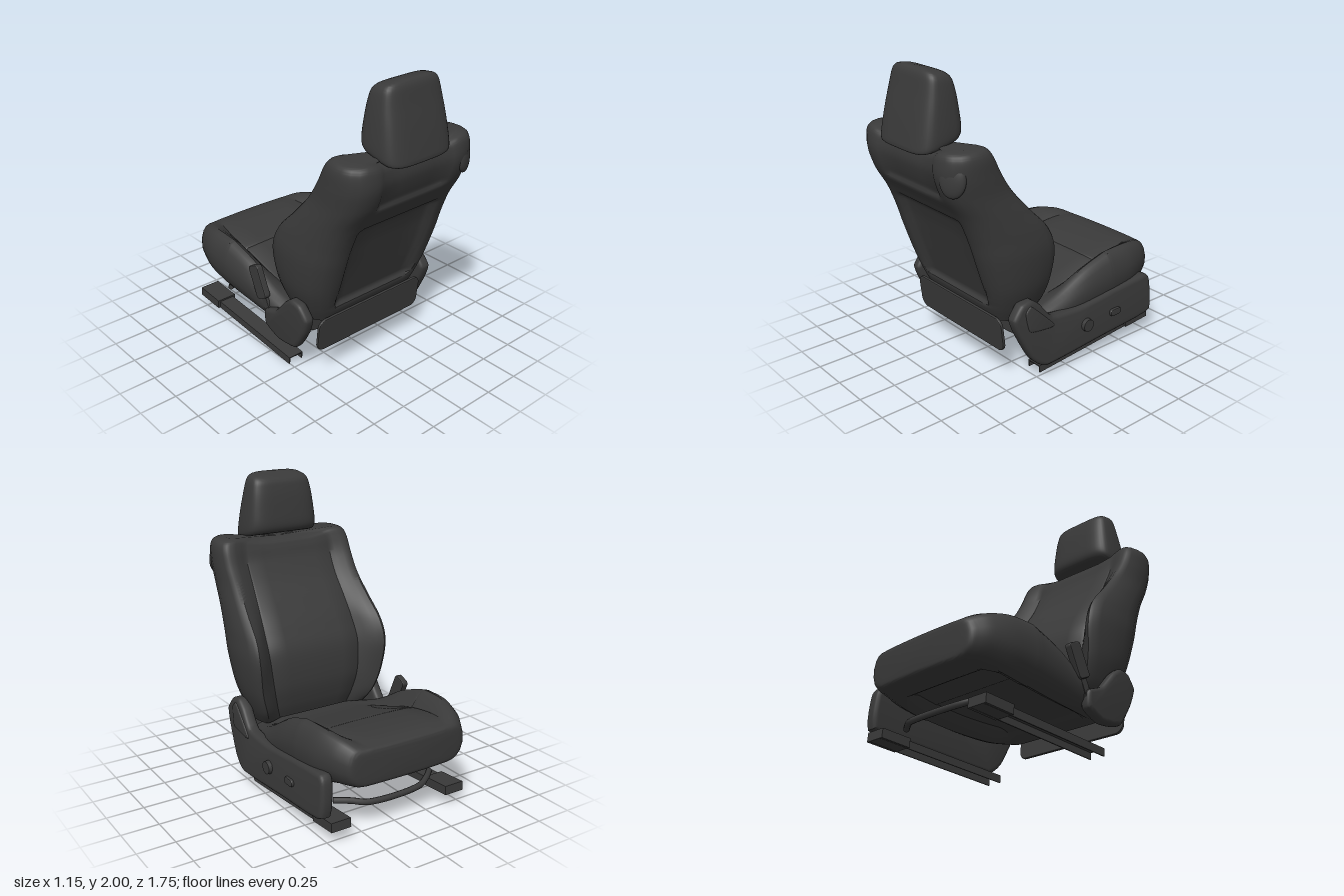
import * as THREE from 'three';
import { toCreasedNormals } from 'three/addons/utils/BufferGeometryUtils.js';

const CX = -0.025; // upholstery centre line
const mat = new THREE.MeshStandardMaterial({ color: 0x3a3a3a, side: THREE.DoubleSide });
const step = THREE.MathUtils.smoothstep;
const lerp = THREE.MathUtils.lerp;

// Smoothly resample rows of section parameters
function resample(rows, per) {
  const out = [];
  const at = i => rows[Math.min(Math.max(i, 0), rows.length - 1)];
  for (let i = 0; i < rows.length - 1; i++) {
    for (let k = 0; k < per; k++) {
      const t = k / per, t2 = t * t, t3 = t2 * t;
      out.push(rows[i].map((b, j) => {
        const a = at(i - 1)[j], c = at(i + 1)[j], d = at(i + 2)[j];
        return 0.5 * (2 * b + (c - a) * t + (2 * a - 5 * b + 4 * c - d) * t2 + (3 * b - a - 3 * c + d) * t3);
      }));
    }
  }
  out.push(rows[rows.length - 1]);
  return out;
}

// Skin closed rings of Vector3 and cap both ends at the given centres
function loft(rings, caps) {
  const n = rings[0].length, pos = [], idx = [];
  rings.forEach(r => r.forEach(p => pos.push(p.x, p.y, p.z)));
  for (let i = 0; i < rings.length - 1; i++) {
    for (let j = 0; j < n; j++) {
      const a = i * n + j, b = i * n + (j + 1) % n;
      idx.push(a, b, b + n, a, b + n, a + n);
    }
  }
  [0, rings.length - 1].forEach((row, end) => {
    const ci = pos.length / 3;
    pos.push(...caps[end]);
    for (let j = 0; j < n; j++) {
      const a = row * n + j, b = row * n + (j + 1) % n;
      if (end) idx.push(a, b, ci); else idx.push(b, a, ci);
    }
  });
  // Turn faces outward
  const v = i => new THREE.Vector3().fromArray(pos, i * 3);
  let vol = 0;
  for (let i = 0; i < idx.length; i += 3) vol += v(idx[i]).dot(v(idx[i + 1]).cross(v(idx[i + 2])));
  if (vol < 0) idx.reverse();
  const g = new THREE.BufferGeometry();
  g.setAttribute('position', new THREE.Float32BufferAttribute(pos, 3));
  g.setIndex(idx);
  return toCreasedNormals(g, 0.7);
}

// Bolstered cross-section: [across, base->bolster, bolster->centre]; p places the bolster ridge
function profile(p) {
  const half = [
    [0, 0, 0], [0.25, 0, 0], [0.5, 0, 0], [0.57, 0, 0], [0.63, 0, 0], [0.7, 0, 0], [0.8, 0.02, 0], [0.89, 0.09, 0],
    [0.96, 0.22, 0], [1, 0.42, 0], [1, 0.65, 0], [lerp(p, 1, 0.75), 0.86, 0], [lerp(p, 1, 0.4), 0.97, 0], [p, 1, 0],
    [lerp(p, 0.65, 0.35), 1, 0.25], [lerp(p, 0.65, 0.75), 1, 0.75], [0.645, 1, 1.1],
    [0.62, 1, 1], [0.4, 1, 0.97], [0.2, 1, 0.95], [0, 1, 0.95]];
  return [...half, ...half.slice(1, -1).reverse().map(([u, a, b]) => [-u, a, b])];
}
const section = (prof, w, base, bolster, centre) => prof.map(([u, a, b]) =>
  [u * w, lerp(lerp(base, bolster, a), centre, b), a]);

function backrest() {
  // height, half width, rear z, bolster z, centre z
  const rows = [
    [0.40, 0.42, 0.44, 0.19, 0.23], [0.50, 0.47, 0.48, 0.13, 0.20], [0.65, 0.52, 0.53, 0.10, 0.18],
    [0.85, 0.545, 0.595, 0.085, 0.20], [1.0, 0.54, 0.645, 0.14, 0.27], [1.15, 0.525, 0.71, 0.28, 0.365],
    [1.29, 0.51, 0.795, 0.40, 0.46], [1.42, 0.51, 0.84, 0.485, 0.53], [1.50, 0.505, 0.84, 0.535, 0.56],
    [1.54, 0.48, 0.82, 0.565, 0.58], [1.555, 0.43, 0.78, 0.6, 0.61]];
  const prof = profile(0.9);
  const rings = resample(rows, 8).map(([y, w, rear, bol, cen]) => section(prof, w, rear, bol, cen).map(([x, z, a]) => {
    const ax = Math.abs(x);
    if (a < 0.005) { // map pocket and upper band recesses
      z -= 0.035 * (1 - step(ax, 0.29, 0.35)) * step(y, 0.49, 0.53) * (1 - step(y, 1.09, 1.14));
      z -= 0.025 * (1 - step(ax, 0.25, 0.31)) * step(y, 1.26, 1.3);
    }
    const lift = 0.035 * step(ax, 0.22, 0.4) * step(y, 1.4, 1.55);
    return new THREE.Vector3(CX + x, y + lift, z);
  }));
  return loft(rings, [[CX, 0.4, 0.33], [CX, 1.555, 0.69]]);
}

function cushion() {
  // z, half width, bottom, bolster top, centre top
  const rows = [
    [-0.868, 0.36, 0.40, 0.54, 0.54], [-0.86, 0.42, 0.36, 0.58, 0.585], [-0.82, 0.455, 0.345, 0.61, 0.60],
    [-0.74, 0.495, 0.34, 0.64, 0.61], [-0.6, 0.53, 0.31, 0.665, 0.60], [-0.43, 0.54, 0.28, 0.665, 0.57],
    [-0.41, 0.54, 0.28, 0.66, 0.555], [-0.39, 0.54, 0.28, 0.657, 0.56], [-0.2, 0.53, 0.26, 0.59, 0.50],
    [0, 0.51, 0.25, 0.475, 0.44], [0.15, 0.48, 0.25, 0.41, 0.40], [0.32, 0.42, 0.27, 0.36, 0.37]];
  const prof = profile(0.83);
  const rings = resample(rows, 6).map(([z, w, lo, bol, cen]) => section(prof, w, lo, bol, cen).map(([x, y, a]) => {
    // hollow underside
    if (a < 0.005) y += 0.09 * (1 - step(Math.abs(x / w), 0.63, 0.75)) * step(z, -0.72, -0.55) * (1 - step(z, 0.1, 0.3));
    return new THREE.Vector3(CX + x, y, z + 0.1 * x * x * (1 - step(z, -0.87, -0.5)));
  }));
  return loft(rings, [[CX, 0.47, -0.87], [CX, 0.32, 0.32]]);
}

function headrest() {
  // height, half width, rear z, front z
  const rows = [
    [1.565, 0.225, 0.845, 0.60], [1.575, 0.255, 0.875, 0.57], [1.63, 0.262, 0.868, 0.555], [1.78, 0.247, 0.83, 0.566],
    [1.9, 0.228, 0.80, 0.585], [1.955, 0.212, 0.785, 0.60], [1.982, 0.185, 0.77, 0.63], [1.993, 0.14, 0.755, 0.665]];
  const rings = resample(rows, 5).map(([y, w, rear, front]) => {
    const ring = [], mid = (rear + front) / 2, d = (rear - front) / 2;
    for (let j = 0; j < 40; j++) {
      const t = j / 40 * Math.PI * 2, c = Math.cos(t), s = Math.sin(t);
      const x = Math.sign(c) * Math.abs(c) ** 0.5 * w, z = mid + Math.sign(s) * Math.abs(s) ** 0.5 * d;
      // underside rises and crown falls towards the front
      const tilt = (0.71 - z) * (0.25 * (1 - step(y, 1.56, 1.8)) - 0.12 * step(y, 1.85, 1.96));
      ring.push(new THREE.Vector3(CX + x, y + tilt, z));
    }
    return ring;
  });
  return loft(rings, [[CX, 1.565, 0.72], [CX, 2, 0.72]]);
}

// Plate in the side plane from [z, y] points, spanning x0 to x1; flare leans its foot outward
function sidePlate(points, x0, x1, bevel, flare = 0) {
  const curve = new THREE.CatmullRomCurve3(points.map(([z, y]) => new THREE.Vector3(-z, y, 0)), true, 'catmullrom', 0.25);
  const shape = new THREE.Shape(curve.getPoints(60).slice(0, -1).map(p => new THREE.Vector2(p.x, p.y)));
  const g = new THREE.ExtrudeGeometry(shape, {
    depth: x1 - x0 - 2 * bevel, bevelThickness: bevel, bevelSize: bevel, bevelOffset: -bevel, bevelSegments: 3 });
  g.rotateY(Math.PI / 2).translate(x0 + bevel, 0, 0);
  const p = g.attributes.position;
  for (let i = 0; i < p.count; i++) p.setX(i, p.getX(i) + flare * (0.35 - p.getY(i)));
  return toCreasedNormals(g, 0.6);
}

function roundedPlate(w, h, r, depth) {
  const s = new THREE.Shape(), x = w / 2 - r, y = h / 2 - r;
  s.absarc(x, y, r, 0, Math.PI / 2);
  s.absarc(-x, y, r, Math.PI / 2, Math.PI);
  s.absarc(-x, -y, r, Math.PI, Math.PI * 1.5);
  s.absarc(x, -y, r, Math.PI * 1.5, Math.PI * 2);
  return new THREE.ExtrudeGeometry(s, { depth, bevelSize: 0.008, bevelThickness: 0.008, bevelSegments: 2 });
}

export function createModel() {
  const seat = new THREE.Group();
  seat.name = 'carSeat';
  const add = (name, geo, x = 0, y = 0, z = 0, rx = 0, ry = 0) => {
    const m = new THREE.Mesh(geo, mat);
    m.name = name;
    m.position.set(x, y, z);
    m.rotation.set(rx, ry, 0);
    seat.add(m);
    return m;
  };

  // Upholstery
  add('backrest', backrest());
  add('cushion', cushion());
  add('headrest', headrest());
  for (const s of [-1, 1]) add('headrestPost', new THREE.CylinderGeometry(0.015, 0.015, 0.16, 16), CX + s * 0.11, 1.55, 0.71);
  add('shoulderPad', new THREE.SphereGeometry(1, 32, 20), 0.395, 1.43, 0.795, -0.1, 0.45).scale.set(0.085, 0.11, 0.035);
  add('rearFlap', roundedPlate(0.87, 0.22, 0.05, 0.006), -0.03, 0.325, 0.448, 0.12);

  // Outer side trim with recliner lever and controls
  add('sideTrim', sidePlate([[0.14, 0.41], [-0.1, 0.39], [-0.4, 0.42], [-0.71, 0.44], [-0.755, 0.38], [-0.745, 0.16], [-0.3, 0.12],
    [0.2, 0.085], [0.32, 0.17], [0.42, 0.36], [0.455, 0.47], [0.39, 0.555], [0.31, 0.57], [0.24, 0.52]], 0.455, 0.54, 0.025, 0.06));
  add('reclinerLever', sidePlate([[0.37, 0.5], [0.33, 0.54], [0.27, 0.49], [0.14, 0.36], [0.17, 0.345], [0.34, 0.37]], 0.5, 0.548, 0.01, 0.06));
  add('roundKnob', new THREE.CylinderGeometry(0.042, 0.045, 0.04, 32).rotateZ(-Math.PI / 2), 0.55, 0.26, -0.14);
  add('ovalSwitch', roundedPlate(0.08, 0.032, 0.015, 0.025).rotateY(Math.PI / 2), 0.53, 0.27, -0.4);

  // Inner hinge cover and belt buckle
  add('hingeCover', sidePlate([[0.14, 0.41], [0.02, 0.36], [0.02, 0.25], [0.15, 0.19], [0.32, 0.21],
    [0.42, 0.36], [0.455, 0.47], [0.39, 0.555], [0.31, 0.57], [0.24, 0.52]], -0.565, -0.49, 0.025, 0.06));
  add('buckle', roundedPlate(0.085, 0.21, 0.015, 0.03).rotateY(Math.PI / 2), -0.55, 0.525, -0.055, -0.42);
  add('buckleStalk', new THREE.BoxGeometry(0.02, 0.2, 0.05), -0.53, 0.36, 0.02, -0.42);

  // Floor rails with front caps
  const channel = new THREE.Shape([[-0.055, 0], [-0.047, 0], [-0.047, 0.042], [0.047, 0.042], [0.047, 0], [0.055, 0],
    [0.055, 0.05], [-0.055, 0.05]].map(p => new THREE.Vector2(...p)));
  for (const x of [-0.45, 0.42]) {
    add('rail', new THREE.ExtrudeGeometry(channel, { depth: 0.98, bevelEnabled: false }).translate(0, 0, -0.98), x, 0, 0.2, 0.08);
    add('railCap', new THREE.BoxGeometry(0.14, 0.06, 0.21), x, 0.102, -0.68, 0.08);
  }

  // Bowed release handle between the rails
  const path = new THREE.CatmullRomCurve3([[-0.39, 0.175, -0.6], [-0.32, 0.175, -0.66], [-0.22, 0.16, -0.71],
    [0.17, 0.16, -0.71], [0.27, 0.175, -0.66], [0.36, 0.175, -0.6]].map(p => new THREE.Vector3(...p)));
  add('releaseHandle', new THREE.TubeGeometry(path, 48, 0.02, 10));
  return seat;
}
